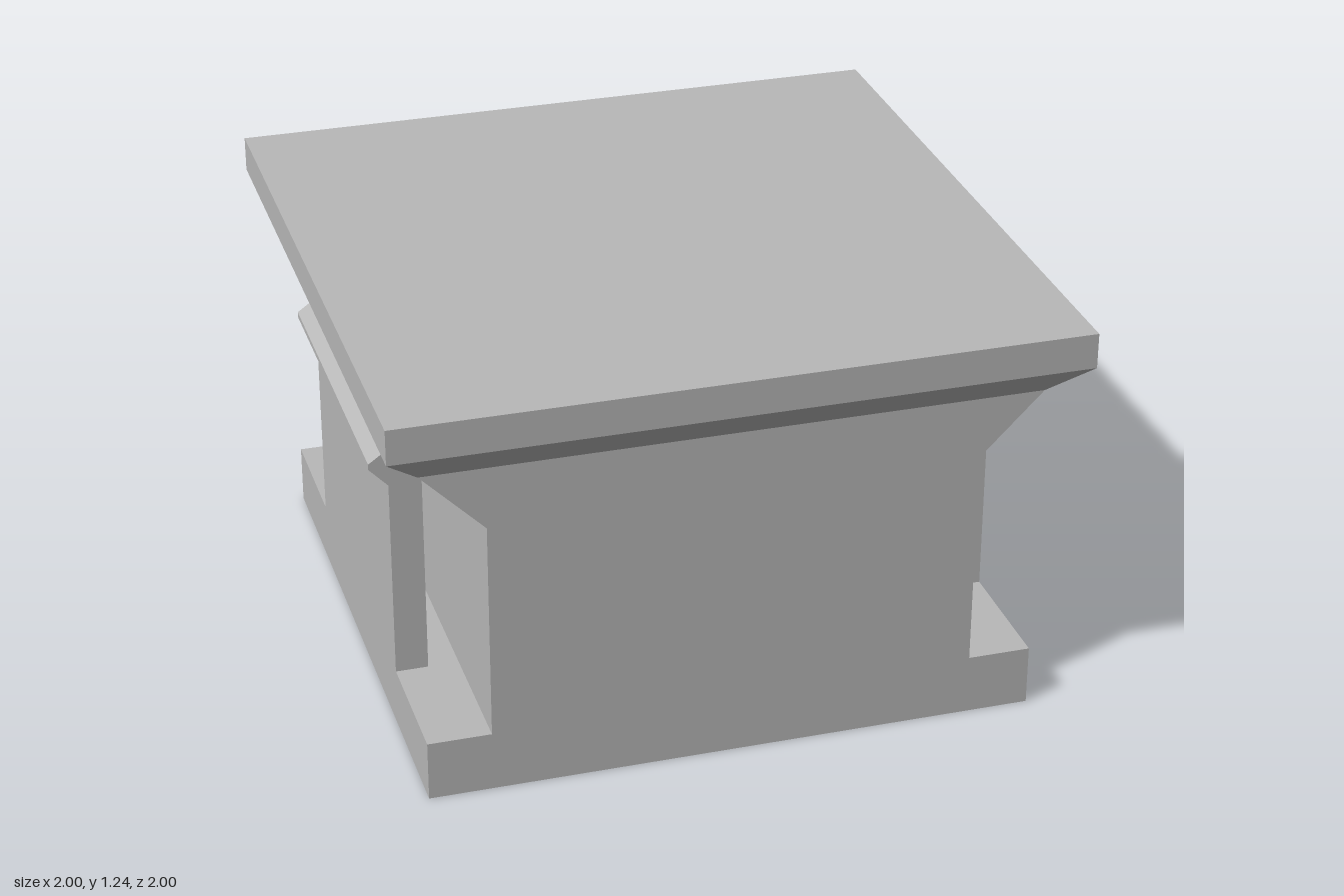
import * as THREE from 'three';

export function createModel() {
  const group = new THREE.Group();
  const grey = new THREE.MeshStandardMaterial({ color: 0xb8b8b8, flatShading: true });
  grey.name = 'plain grey';

  const add = (name, geometry) => {
    const mesh = new THREE.Mesh(geometry, grey);
    mesh.name = name;
    group.add(mesh);
    return mesh;
  };

  // Extrude a front-facing profile along z, centred on z = 0
  const extrude = (points, depth) => {
    const shape = new THREE.Shape(points.map(([x, y]) => new THREE.Vector2(x, y)));
    return new THREE.ExtrudeGeometry(shape, { depth, bevelEnabled: false })
      .translate(0, 0, -depth / 2);
  };

  // Body: wide foot, narrower waist, shoulders flaring at 45 degrees
  const half = [[0.895, 0], [0.895, 0.18], [0.71, 0.18], [0.71, 0.84], [0.895, 1.025]];
  const mirrored = half.map(([x, y]) => [-x, y]).reverse();
  add('body', extrude([...half, ...mirrored], 1.79));

  // Sloped square collar under the top plate
  const collar = new THREE.CylinderGeometry(Math.SQRT2, 0.895 * Math.SQRT2, 0.105, 4, 1, true);
  add('collar', collar.rotateY(Math.PI / 4).translate(0, 1.0775, 0));

  // Flat top plate
  add('topPlate', new THREE.BoxGeometry(2, 0.105, 2).translate(0, 1.1825, 0));

  // Upright spring clips with an outward hook
  const clip = [
    [0.8, 0.18], [0.895, 0.18], [0.895, 0.79], [0.95, 0.848],
    [0.95, 0.865], [0.9, 0.9], [0.862, 0.9], [0.8, 0.84],
  ];
  for (const [name, side] of [['leftClip', 1], ['rightClip', -1]]) {
    add(name, extrude(clip.map(([x, y]) => [x * side, y]), 1));
  }
  return group;
}
